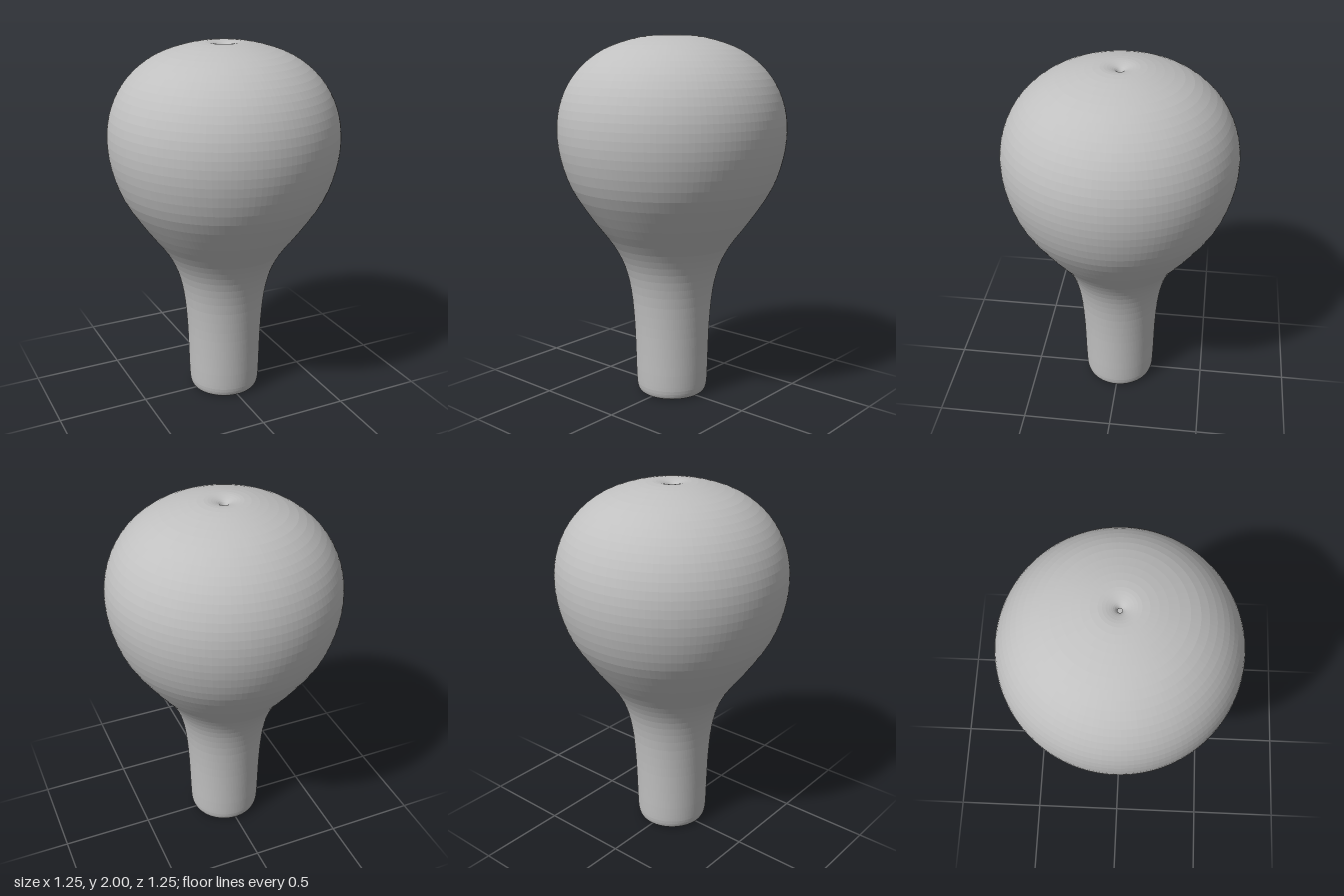
import * as THREE from 'three';

export function createModel() {
  const group = new THREE.Group();
  group.name = 'hollowKnob';
  const grey = new THREE.MeshStandardMaterial({ color: 0xc0c0c0, flatShading: true });
  grey.name = 'grey';

  // Outer wall, from the rounded lip up to the pinhole in the crown
  const outer = [
    [0.17, 0], [0.187, 0.008], [0.198, 0.035], [0.203, 0.1], [0.207, 0.25], [0.214, 0.42],
    [0.232, 0.6], [0.267, 0.74], [0.328, 0.86], [0.44, 1.01], [0.555, 1.19],
    [0.609, 1.35], [0.625, 1.49], [0.61, 1.62], [0.562, 1.74], [0.485, 1.84],
    [0.37, 1.925], [0.22, 1.98], [0.1, 2], [0.05, 1.993], [0.023, 1.98], [0.012, 1.96],
  ];
  // Inner wall, from the pinhole down through the bore to the lip
  const inner = [
    [0.025, 1.942], [0.1, 1.937], [0.21, 1.92], [0.34, 1.87], [0.44, 1.8],
    [0.51, 1.71], [0.55, 1.61], [0.564, 1.49], [0.55, 1.36], [0.5, 1.22],
    [0.39, 1.05], [0.275, 0.89], [0.21, 0.76], [0.173, 0.61], [0.154, 0.42],
    [0.146, 0.25], [0.142, 0.1], [0.142, 0.035], [0.152, 0.008],
  ];
  const curve = new THREE.CatmullRomCurve3(
    [...outer, ...inner].map(([r, y]) => new THREE.Vector3(r, y, 0)), true, 'centripetal');
  const profile = curve.getPoints(123).map((p) => new THREE.Vector2(p.x, Math.min(2, Math.max(0, p.y))));

  // One turned shell, open at the neck
  const shell = new THREE.Mesh(new THREE.LatheGeometry(profile, 128), grey);
  shell.name = 'turnedShell';
  group.add(shell);
  return group;
}
